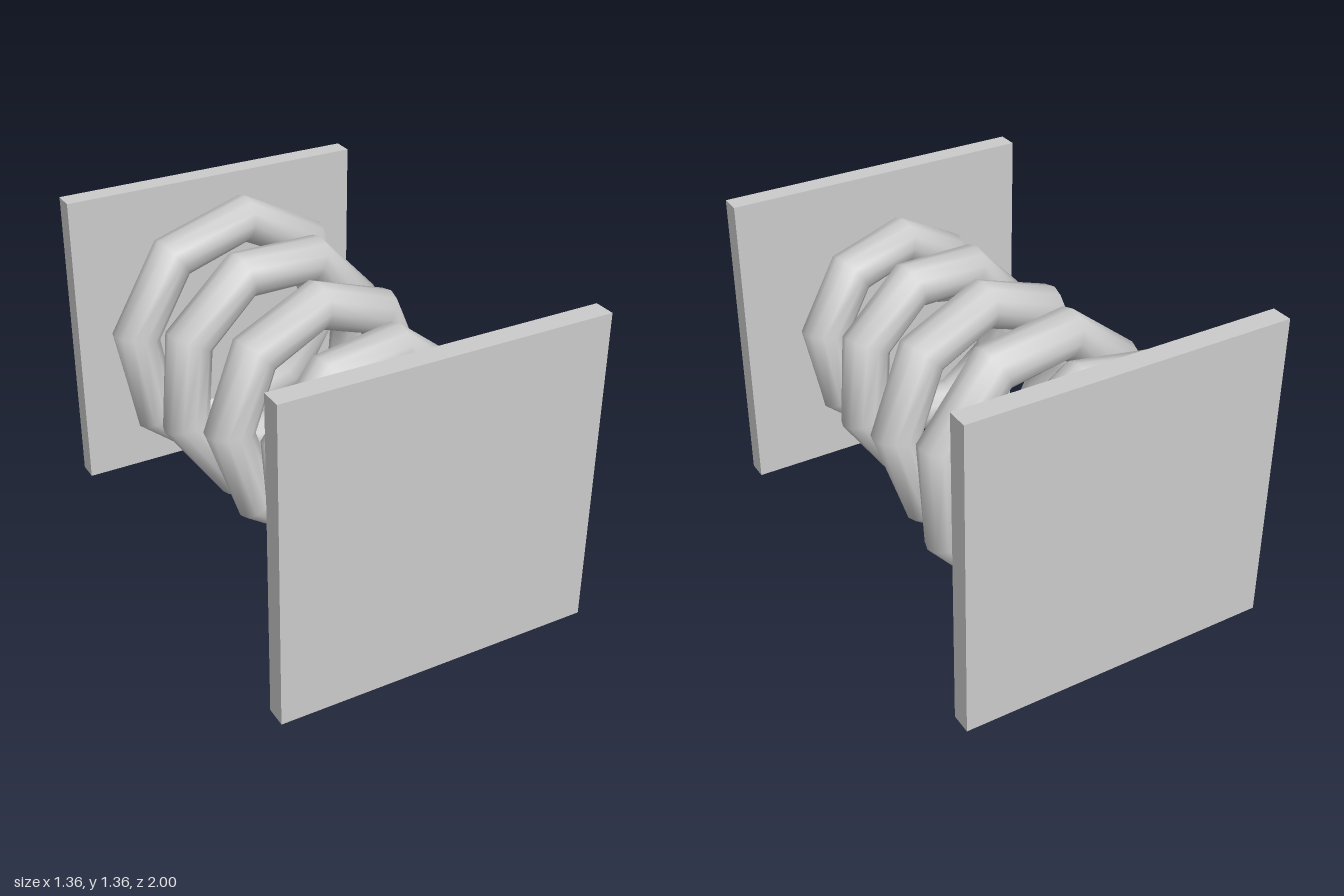
import * as THREE from 'three';

const SIZE = 1.364, THICK = 0.09, MID = SIZE / 2;
const PITCH = 0.3975, TUBE = 0.104, SIDES = 12;
const STEP = 42.82; // degrees between coil sections
const plateMaterial = new THREE.MeshStandardMaterial({ color: 0xcccccc, flatShading: true });
const coilMaterial = new THREE.MeshStandardMaterial({ color: 0xcccccc });

// Tapering helix about z: angle in degrees, starting at -x and passing over the top
function coilPoint(deg) {
  const a = THREE.MathUtils.degToRad(deg);
  const r = 0.378 + 9.2e-5 * deg;
  return new THREE.Vector3(-Math.cos(a) * r, MID + Math.sin(a) * r, 0.92 - PITCH * deg / 360);
}

function coilGeometry() {
  // One short lead-in section, then even steps
  const angles = [-10];
  for (let k = 0; k <= 40; k++) angles.push(39.6 + k * STEP);
  const pos = [], index = [];
  angles.forEach((deg, i) => {
    const a = THREE.MathUtils.degToRad(deg);
    const c = coilPoint(deg);
    const radial = new THREE.Vector3(-Math.cos(a), Math.sin(a), 0);
    const tangent = coilPoint(deg + 1).sub(coilPoint(deg - 1)).normalize();
    const across = tangent.clone().cross(radial).normalize();
    for (let j = 0; j < SIDES; j++) {
      const u = (j / SIDES) * Math.PI * 2;
      const p = c.clone()
        .addScaledVector(radial, Math.cos(u) * TUBE)
        .addScaledVector(across, Math.sin(u) * TUBE);
      // The first section is cut at a slant where it leaves the plate
      if (i === 0) p.y -= Math.sin(u) * TUBE;
      // Keep the ends embedded in the plates
      pos.push(p.x, p.y, THREE.MathUtils.clamp(p.z, -0.97, 0.97));
    }
    if (i === 0) return;
    for (let j = 0; j < SIDES; j++) {
      const k = (j + 1) % SIDES;
      const p = (i - 1) * SIDES, q = i * SIDES;
      index.push(p + j, p + k, q + k, p + j, q + k, q + j);
    }
  });
  // End caps
  const last = (angles.length - 1) * SIDES;
  for (let j = 1; j < SIDES - 1; j++) {
    index.push(0, j + 1, j, last, last + j, last + j + 1);
  }
  const g = new THREE.BufferGeometry();
  g.setAttribute('position', new THREE.Float32BufferAttribute(pos, 3));
  g.setIndex(index);
  g.computeVertexNormals();
  return g;
}

export function createModel() {
  const model = new THREE.Group();
  model.name = 'coilSpring';

  // Square end plates
  for (const [name, s] of [['frontPlate', 1], ['backPlate', -1]]) {
    const plate = new THREE.Mesh(new THREE.BoxGeometry(SIZE, SIZE, THICK), plateMaterial);
    plate.name = name;
    plate.position.set(0, MID, s * (1 - THICK / 2));
    model.add(plate);
  }

  // Spring coil between the plates
  const coil = new THREE.Mesh(coilGeometry(), coilMaterial);
  coil.name = 'coil';
  model.add(coil);
  return model;
}
